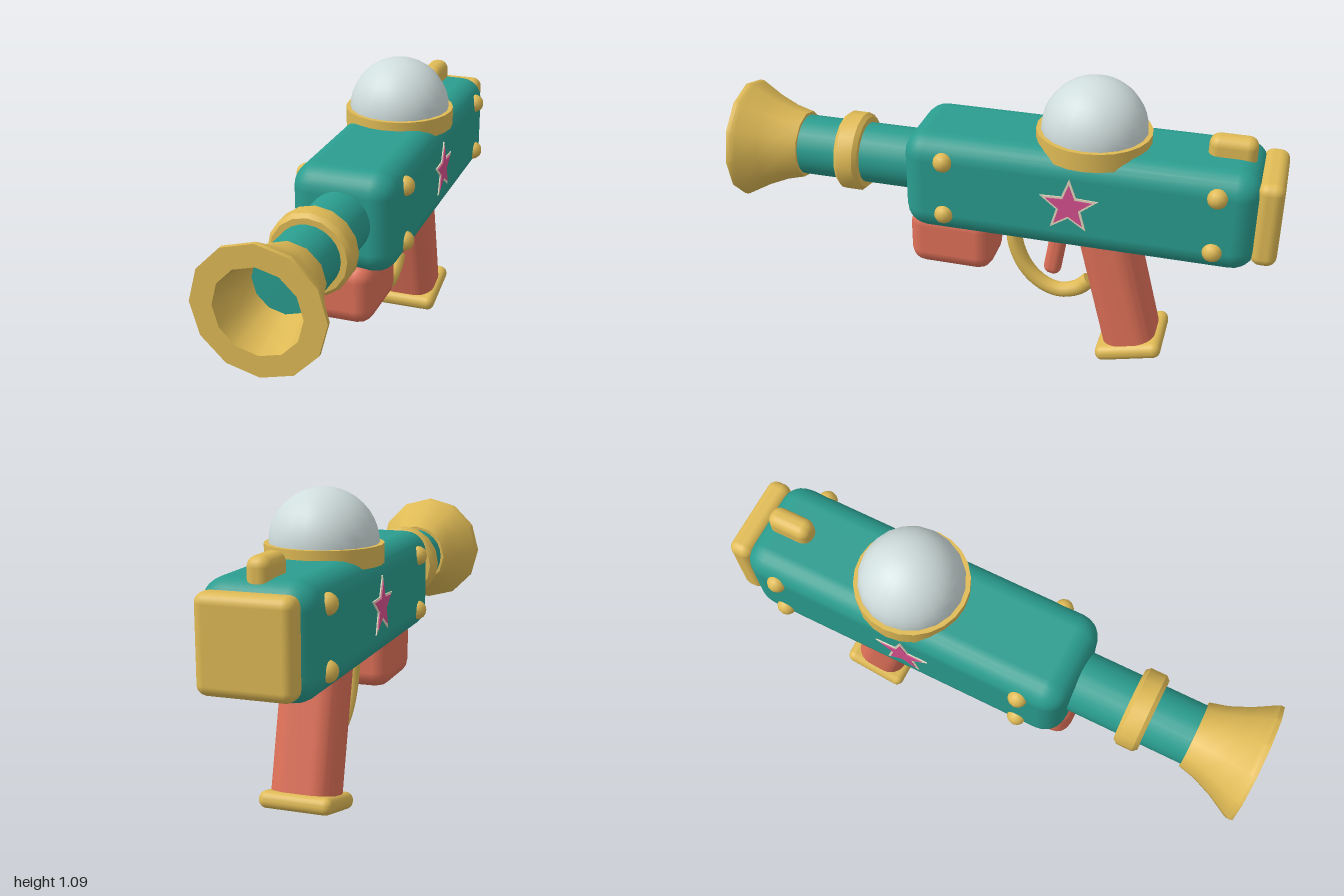
import * as THREE from 'three';
import { toCreasedNormals } from 'three/addons/utils/BufferGeometryUtils.js';
import { RoundedBoxGeometry } from 'three/addons/geometries/RoundedBoxGeometry.js';

const material = (name, color) => {
  const m = new THREE.MeshStandardMaterial({ color });
  m.name = name;
  return m;
};

export function createModel() {
  const model = new THREE.Group();
  model.name = 'toyBlaster';
  const teal = material('teal', 0x2a9d8f);
  const gold = material('gold', 0xdfba55);
  const red = material('coral red', 0xe07159);
  const glass = material('pale glass', 0xcfdddc);
  const cream = material('cream', 0xeadcc4);
  const pink = material('pink', 0xd6508f);

  const add = (name, geometry, mat, x = 0, y = 0, z = 0, tilt = 0) => {
    const mesh = new THREE.Mesh(geometry, mat);
    mesh.name = name;
    mesh.position.set(x, y, z);
    mesh.rotation.x = tilt;
    model.add(mesh);
    return mesh;
  };
  const box = (w, h, d, r, segments = 3) => new RoundedBoxGeometry(w, h, d, segments, r);
  // Profile points are [radius, position along the axis]
  const lathe = (points, sides) => toCreasedNormals(
    new THREE.LatheGeometry(points.map(p => new THREE.Vector2(...p)), sides), 0.6);

  // Body and back plate
  add('body', box(0.38, 0.375, 1.26, 0.085), teal, 0, 0.695, -0.30);
  add('backPlate', box(0.32, 0.315, 0.09, 0.035), gold, 0, 0.697, -0.955);
  add('rearSight', box(0.08, 0.12, 0.165, 0.035), gold, 0, 0.89, -0.81);

  // Barrel, collar and flared muzzle, all along z
  const axisY = 0.704;
  add('barrel', new THREE.CylinderGeometry(0.112, 0.112, 0.55, 24), teal, 0, axisY, 0.525, Math.PI / 2);
  add('barrelCollar', lathe([[0.1, 0.52], [0.134, 0.52], [0.147, 0.535], [0.147, 0.595],
    [0.134, 0.61], [0.1, 0.61]], 16), gold, 0, axisY, 0, Math.PI / 2);
  add('muzzle', lathe([[0.1, 0.765], [0.125, 0.765], [0.142, 0.83], [0.172, 0.9], [0.212, 0.97],
    [0.22, 0.985], [0.22, 1], [0.146, 1], [0.128, 0.9], [0.11, 0.8]], 12),
  gold, 0, axisY, 0, Math.PI / 2);

  // Dome and its seat ring
  add('dome', new THREE.SphereGeometry(0.188, 20, 10, 0, Math.PI * 2, 0, Math.PI / 2), glass, 0, 0.913, -0.33);
  add('domeRing', new THREE.CylinderGeometry(0.204, 0.204, 0.068, 24), gold, 0, 0.881, -0.33);

  // Star plates and rivets on both sides
  const star = (radius, depth) => {
    const s = new THREE.Shape();
    for (let i = 0; i < 10; i++) {
      const r = i % 2 ? radius * 0.42 : radius;
      const a = Math.PI / 2 + i * Math.PI / 5;
      s[i ? 'lineTo' : 'moveTo'](r * Math.cos(a), r * Math.sin(a));
    }
    return new THREE.ExtrudeGeometry(s, { depth, bevelEnabled: false });
  };
  for (const side of [1, -1]) {
    const label = side > 0 ? 'left' : 'right';
    add(label + 'StarBorder', star(0.108, 0.005), cream, side * 0.189, 0.698, -0.285).rotation.y = side * Math.PI / 2;
    add(label + 'Star', star(0.086, 0.008), pink, side * 0.189, 0.698, -0.285).rotation.y = side * Math.PI / 2;
    for (const y of [0.595, 0.802])
      for (const z of [0.17, -0.785])
        add(label + 'Rivet', new THREE.SphereGeometry(0.036, 12, 8), gold, side * 0.183, y, z);
  }

  // Fore grip
  add('foreGrip', box(0.226, 0.23, 0.32, 0.06, 2), red, 0, 0.425, 0.18);

  // Raked rear grip: rounded rectangle swept along its length
  const rake = 0.25, w = 0.113, d = 0.1, r = 0.07;
  const section = new THREE.Shape();
  [[w - r, d - r, 0], [r - w, d - r, 1], [r - w, r - d, 2], [w - r, r - d, 3]].forEach(([x, y, q]) =>
    section.absarc(x, y, r, q * Math.PI / 2, (q + 1) * Math.PI / 2, false));
  const gripGeometry = new THREE.ExtrudeGeometry(section, { depth: 0.5, bevelEnabled: false, curveSegments: 5 });
  gripGeometry.rotateX(-Math.PI / 2);
  add('grip', toCreasedNormals(gripGeometry, 0.6), red, 0, 0.08, -0.507, rake);
  add('gripBase', box(0.262, 0.06, 0.25, 0.028), gold, 0, 0.06, -0.51, rake);

  // Trigger and its guard
  add('trigger', box(0.06, 0.28, 0.066, 0.028), red, 0, 0.432, -0.21, -0.15);
  const path = new THREE.CatmullRomCurve3([[0.56, -0.055], [0.42, -0.045], [0.305, -0.088], [0.24, -0.155],
    [0.22, -0.225], [0.243, -0.295], [0.283, -0.335]].map(([y, z]) => new THREE.Vector3(0, y, z)));
  add('triggerGuard', new THREE.TubeGeometry(path, 28, 0.03, 10), gold);
  const end = path.getPoint(1);
  const cap = add('guardEnd', new THREE.CircleGeometry(0.03, 10), gold, end.x, end.y, end.z);
  cap.lookAt(end.clone().add(path.getTangent(1)));

  return model;
}
